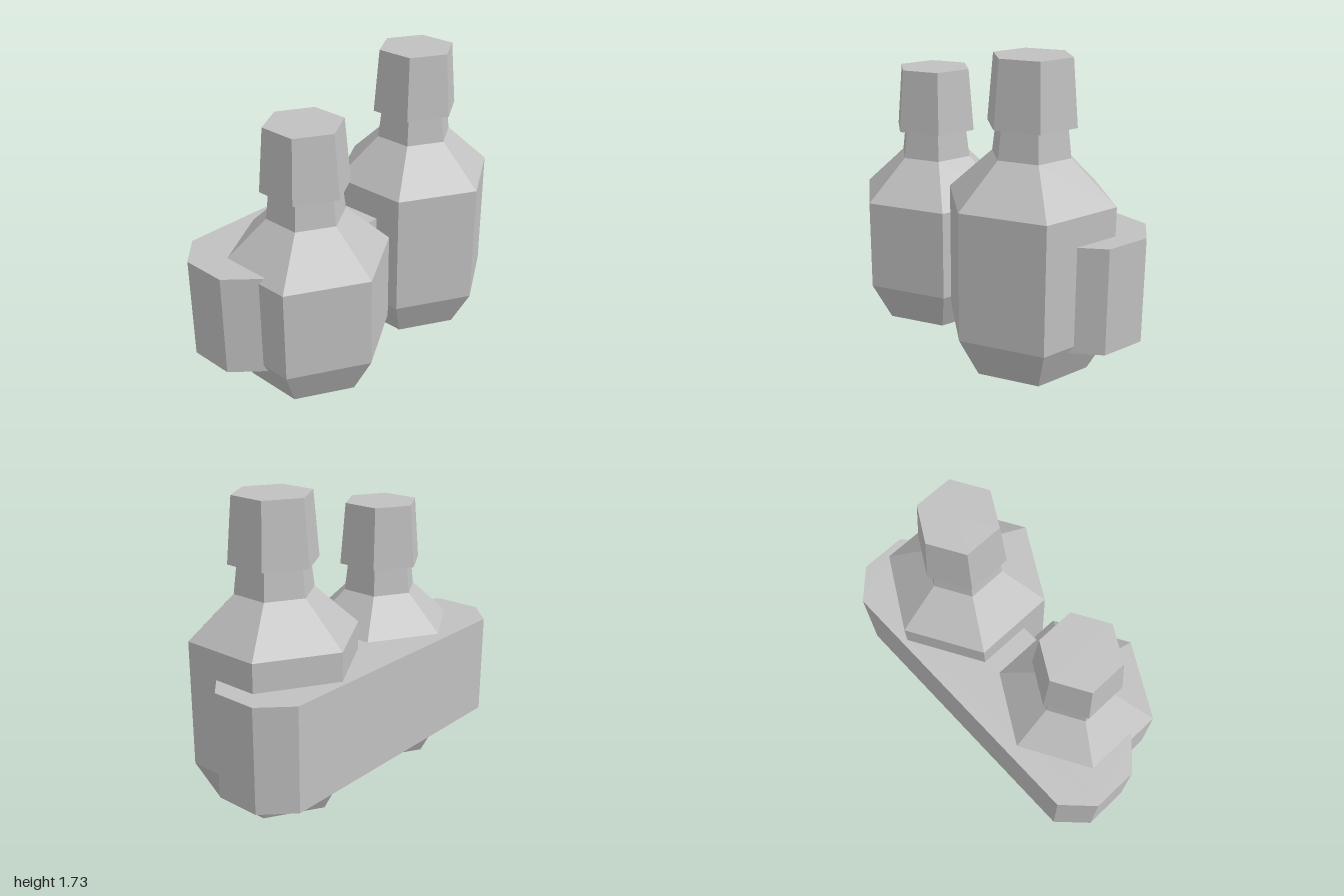
import * as THREE from 'three';

const SIDES = 6;

export function createModel() {
  const group = new THREE.Group();
  const grey = new THREE.MeshStandardMaterial({ color: 0xc0c0c0 });
  grey.name = 'plain grey';
  grey.flatShading = true;

  const add = (parent, geometry, name) => {
    const mesh = new THREE.Mesh(geometry, grey);
    mesh.name = name;
    parent.add(mesh);
    return mesh;
  };

  // Six-sided bottle; bodyTop is the height where the straight wall ends
  const addBottle = (name, x, bodyTop) => {
    const bottle = new THREE.Group();
    bottle.name = name;
    bottle.position.set(x, 0, 0.015);

    // Tapered base, straight wall, shoulder and neck
    const profile = [
      [0, 0], [0.35, 0], [0.48, 0.24], [0.48, bodyTop],
      [0.225, bodyTop + 0.237], [0.202, bodyTop + 0.42],
    ].map(([r, y]) => new THREE.Vector2(r, y));
    add(bottle, new THREE.LatheGeometry(profile, SIDES), 'bottleBody');

    // Tapered stopper overhanging the neck
    const stopper = add(bottle, new THREE.CylinderGeometry(0.222, 0.254, 0.365, SIDES), 'stopper');
    stopper.position.y = bodyTop + 0.402 + 0.365 / 2;
    group.add(bottle);
  };
  addBottle('shortBottle', -0.442, 0.77);
  addBottle('tallBottle', 0.468, 0.963);

  // Holder block with chamfered corners, outlined in plan and raised in y
  const plan = new THREE.Shape([
    [-0.84, -0.09], [0.84, -0.09], [1, 0.07], [1, 0.338],
    [0.84, 0.498], [-0.84, 0.498], [-1, 0.338], [-1, 0.07],
  ].map(([x, y]) => new THREE.Vector2(x, y)));
  const block = new THREE.ExtrudeGeometry(plan, { depth: 0.6, bevelEnabled: false });
  block.rotateX(-Math.PI / 2);
  add(group, block, 'holder').position.y = 0.2;

  return group;
}
